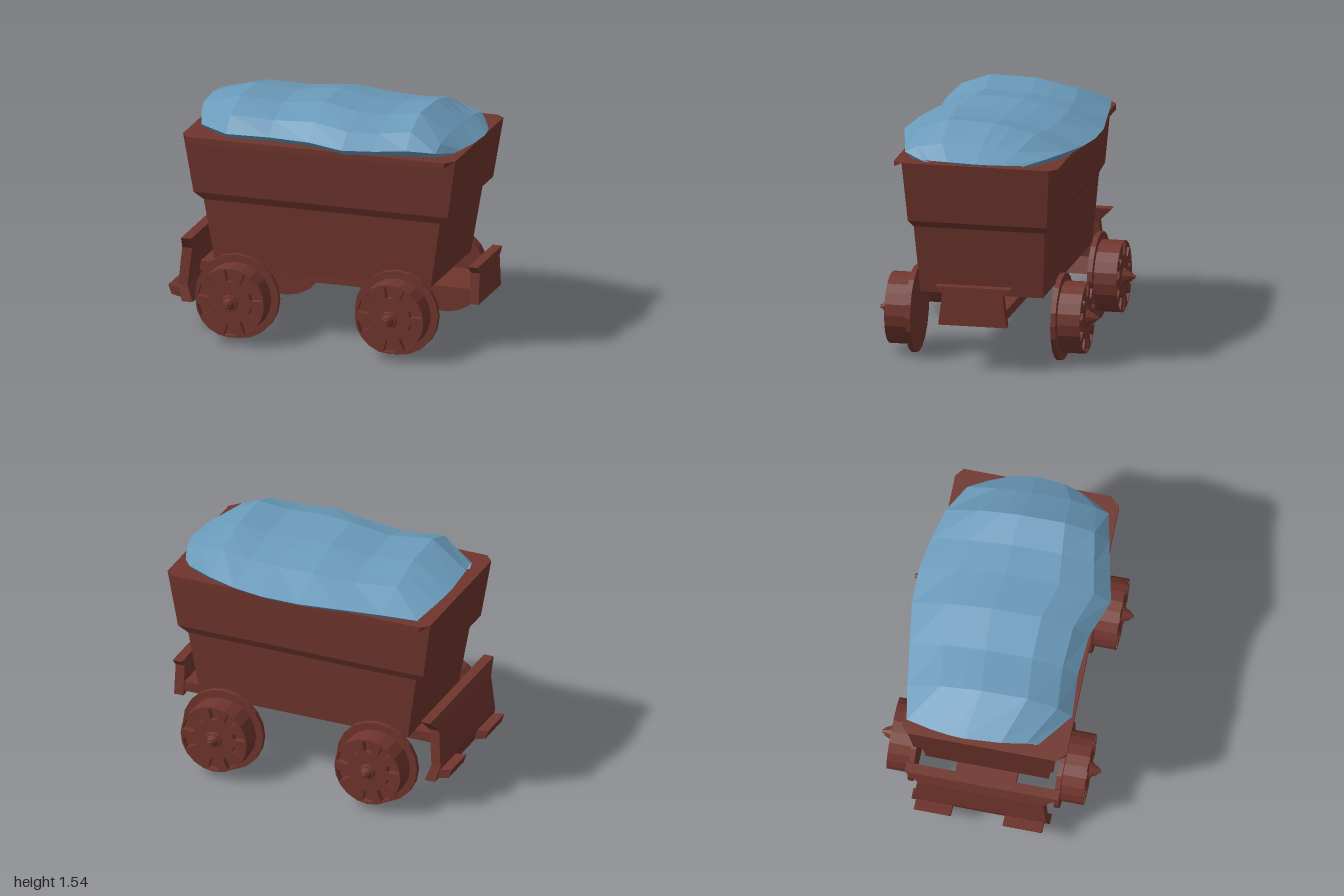
import * as THREE from 'three';

const rust = new THREE.MeshStandardMaterial({ color: 0x70352d });
rust.name = 'rust brown';
const ore = new THREE.MeshStandardMaterial({ color: 0x6a9aba });
ore.name = 'ore blue';

// Gives every face its own normal for the low-poly look
function flat(geometry) {
  const g = geometry.index ? geometry.toNonIndexed() : geometry;
  g.computeVertexNormals();
  return g;
}

function part(name, geometry, material = rust) {
  const mesh = new THREE.Mesh(flat(geometry), material);
  mesh.name = name;
  return mesh;
}

// Closed solid through rings of equal point count, capped at both ends
function loft(rings) {
  const n = rings[0].length;
  const index = [];
  for (let i = 0; i < rings.length - 1; i++) {
    for (let j = 0; j < n; j++) {
      const a = i * n + j, b = i * n + (j + 1) % n;
      index.push(a, b, b + n, a, b + n, a + n);
    }
  }
  const last = (rings.length - 1) * n;
  for (let j = 1; j < n - 1; j++) {
    index.push(0, j + 1, j, last, last + j, last + j + 1);
  }
  const g = new THREE.BufferGeometry();
  g.setAttribute('position', new THREE.Float32BufferAttribute(rings.flat(2), 3));
  g.setIndex(index);
  return g;
}

// Rectangular ring at height y
const rect = (y, x0, x1, z0, z1) => [[x1, y, z1], [x1, y, z0], [x0, y, z0], [x0, y, z1]];

// Wheel facing +z, inner face at z = 0
function makeWheel() {
  const wheel = new THREE.Group();
  const disc = (name, rFront, rBack, z0, z1, sides) => {
    const g = new THREE.CylinderGeometry(rFront, rBack, z1 - z0, sides);
    g.rotateX(Math.PI / 2).translate(0, 0, (z0 + z1) / 2);
    wheel.add(part(name, g));
  };
  disc('wheelFlange', 0.277, 0.277, 0, 0.033, 20);
  disc('wheelDrum', 0.228, 0.228, 0.033, 0.14, 20);
  disc('hub', 0.05, 0.06, 0.17, 0.195, 10);
  disc('hubCone', 0.025, 0.042, 0.195, 0.232, 10);
  disc('hubTip', 0.012, 0.018, 0.232, 0.25, 8);

  // Spoked face with a ring of windows
  const polar = (r, a) => new THREE.Vector2(-r * Math.sin(a), r * Math.cos(a));
  const face = new THREE.Shape(
    Array.from({ length: 20 }, (_, i) => polar(0.228, (i / 20) * Math.PI * 2)));
  for (let i = 0; i < 10; i++) {
    const a = (i / 10) * Math.PI * 2;
    face.holes.push(new THREE.Path([
      polar(0.14, a + 0.15), polar(0.14, a - 0.15),
      polar(0.218, a - 0.18), polar(0.218, a + 0.18)].reverse()));
  }
  const g = new THREE.ExtrudeGeometry(face, { depth: 0.04, bevelEnabled: false });
  wheel.add(part('spokedFace', g.translate(0, 0, 0.139)));
  return wheel;
}

// Heap of ore, lofted along x
function makeHeap() {
  const across = [0, 0.2, 0.35, 0.45, 0.73, 0.91, 1];
  const rise = [0, 0.6, 0.83, 0.95, 1, 0.58, 0];
  // x, end bulge, back z, front z, edge y, top y
  const stations = [
    [-0.80, 0.07, -0.44, 0.30, 1.31, 1.31],
    [-0.88, 0.08, -0.49, 0.36, 1.35, 1.42],
    [-0.58, 0, -0.53, 0.53, 1.36, 1.53],
    [-0.30, 0, -0.57, 0.51, 1.36, 1.505],
    [-0.03, 0, -0.61, 0.53, 1.36, 1.54],
    [0.22, 0, -0.61, 0.62, 1.36, 1.515],
    [0.42, 0, -0.575, 0.575, 1.36, 1.51],
    [0.62, 0, -0.52, 0.53, 1.37, 1.54],
    [0.82, -0.02, -0.42, 0.49, 1.36, 1.43],
    [0.96, -0.08, -0.30, 0.36, 1.33, 1.345],
    [0.87, -0.06, -0.27, 0.31, 1.31, 1.31],
  ];
  return loft(stations.map(([x, bulge, z0, z1, edge, top]) => {
    const ring = across.map((t, i) => [
      x + bulge * (2 * t - 1) ** 2,
      edge + (top - edge) * rise[i],
      z0 + (z1 - z0) * t]);
    ring.push([x + bulge, 1.31, z1 * 0.88], [x + bulge, 1.31, z0 * 0.88]);
    return ring;
  }));
}

export function createModel() {
  const cart = new THREE.Group();
  cart.name = 'mineCart';

  // Flared tub with a step in its walls
  const tub = [[0.44, 0.715, 0.395], [0.88, 0.785, 0.423], [0.93, 0.845, 0.448], [1.32, 0.905, 0.475]];
  cart.add(part('tub', loft(tub.map(([y, w, d]) =>
    rect(y, 0.025 - w, 0.025 + w, 0.007 - d, 0.007 + d)))));

  // Wedge-shaped lips along the top of the long walls, mitred at the ends
  for (const [inner, outer] of [[0.481, 0.542], [-0.467, -0.512]]) {
    const rings = [-1, 1].map((end) => {
      const ring = [
        [0.025 + end * 0.905, 1.319, inner],
        [0.025 + end * 0.85, 1.319, outer],
        [0.025 + end * 0.845, 1.28, outer]];
      return outer > 0 ? ring : ring.reverse();
    });
    cart.add(part('rimLip', loft(rings)));
  }

  cart.add(part('oreHeap', makeHeap(), ore));

  // Frame beam, hung below the tub
  cart.add(part('frameBeam', loft([
    rect(0.325, -0.88, 0.95, -0.19, 0.2), rect(0.39, -0.88, 0.95, -0.19, 0.2)])));

  // Bumper plate on one end
  cart.add(part('bumperPlate', loft([
    rect(0.30, 0.937, 1, -0.21, 0.23), rect(0.50, 0.937, 1, -0.185, 0.205),
    rect(0.55, 0.937, 1, -0.235, 0.25)])));

  // Bent guard plate on the other end, with two slanted feet
  cart.add(part('guardPlate', loft([
    rect(0.195, -0.90, -0.83, -0.44, 0.45), rect(0.30, -0.93, -0.868, -0.42, 0.43),
    rect(0.54, -0.91, -0.845, -0.395, 0.41), rect(0.63, -0.888, -0.822, -0.485, 0.5)])));
  for (const [z0, z1] of [[-0.405, -0.17], [0.165, 0.415]]) {
    const footRing = (xTop, xLow, y0, y1) => [
      [xTop, y1, z0], [xTop, y1, z1], [xLow, y0, z1], [xLow, y0, z0]];
    cart.add(part('guardFoot', loft([
      footRing(-1, -0.98, 0.225, 0.285), footRing(-0.91, -0.89, 0.205, 0.268)])));
  }

  // Four wheels
  for (const x of [-0.52, 0.54]) {
    for (const side of [1, -1]) {
      const wheel = makeWheel();
      wheel.name = side > 0 ? 'frontWheel' : 'backWheel';
      wheel.position.set(x, 0.277, side * 0.452);
      if (side < 0) wheel.rotation.y = Math.PI;
      cart.add(wheel);
    }
  }
  return cart;
}
